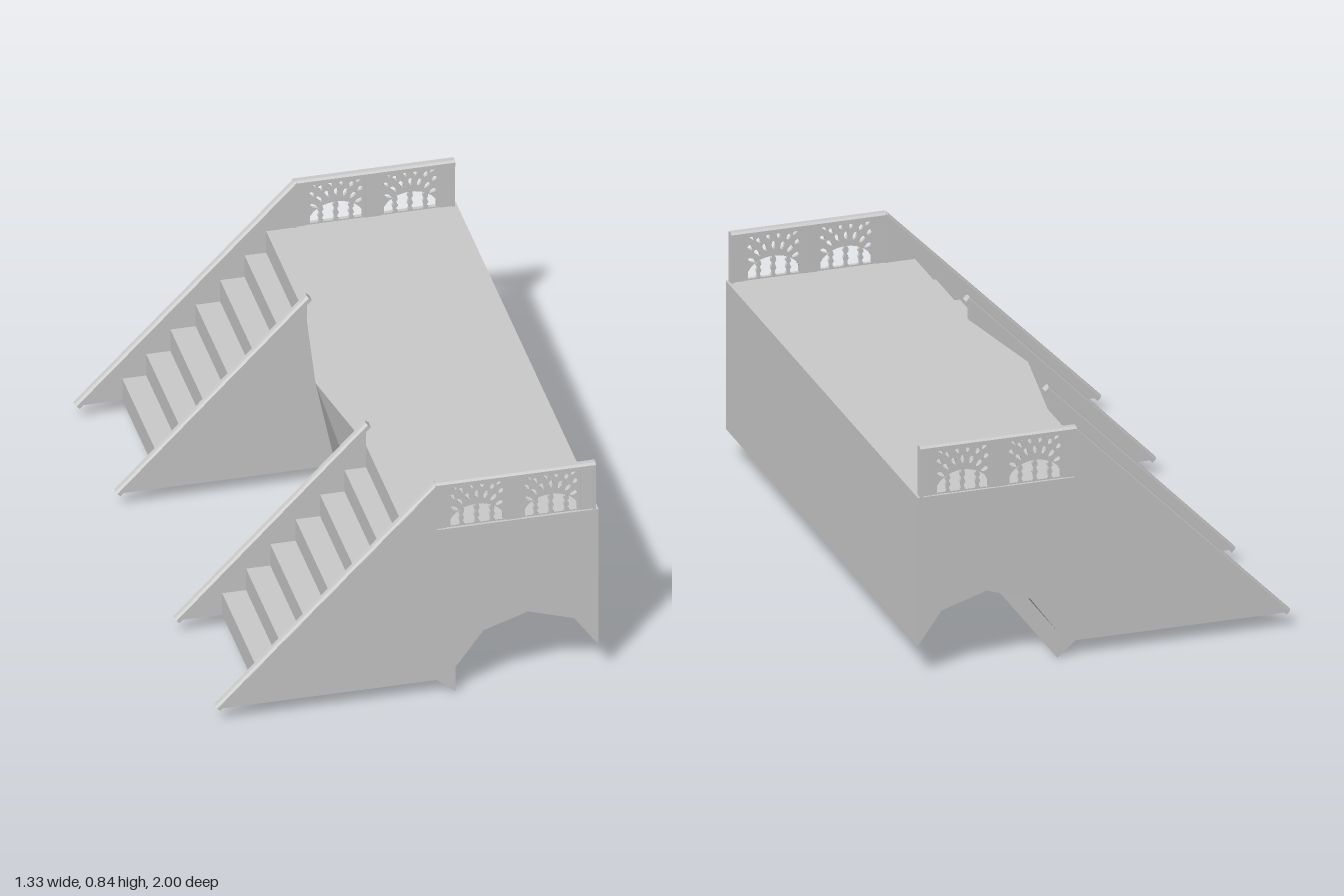
import * as THREE from 'three';

const mat = new THREE.MeshStandardMaterial({ color: 0xcccccc, flatShading: true });
const sheetMat = new THREE.MeshStandardMaterial({ color: 0xcccccc, flatShading: true, side: THREE.DoubleSide });

const toPoints = (pts) => pts.map(([x, y]) => new THREE.Vector2(x, y));

function add(group, name, geometry, material = mat) {
  const mesh = new THREE.Mesh(geometry, material);
  mesh.name = name;
  group.add(mesh);
  return mesh;
}

// Side profile (x, y) extruded from z0 to z1
function slab(pts, z0, z1, holes = []) {
  const shape = new THREE.Shape(toPoints(pts));
  shape.holes = holes.map((h) => new THREE.Path(toPoints(h)));
  const g = new THREE.ExtrudeGeometry(shape, { depth: z1 - z0, bevelEnabled: false });
  return g.translate(0, 0, z0);
}

const rect = (x0, y0, x1, y1) => [[x0, y0], [x1, y0], [x1, y1], [x0, y1]];

// Rounded coping whose crown runs from a to b at depth z
function coping(a, b, z, width = 0.032, height = 0.022) {
  const w = width / 2;
  const section = [[-w, -height], [w, -height], [w, -0.007], [w * 0.55, 0], [-w * 0.55, 0], [-w, -0.007]];
  const d = new THREE.Vector3(b[0] - a[0], b[1] - a[1], 0);
  const g = slab(section, 0, d.length());
  d.normalize();
  const m = new THREE.Matrix4().makeBasis(new THREE.Vector3(0, 0, -1), new THREE.Vector3(-d.y, d.x, 0), d);
  return g.applyMatrix4(m.setPosition(a[0], a[1], z));
}

// Pointed oval opening, long axis at the given angle
function petal(cx, cy, angle, length, width) {
  const pts = [];
  for (let i = 0; i < 8; i++) {
    const t = (i / 8) * Math.PI * 2;
    const u = Math.cos(t) * length, v = Math.sin(t) * width * (1 + 0.3 * Math.cos(t));
    pts.push([cx + u * Math.cos(angle) - v * Math.sin(angle), cy + u * Math.sin(angle) + v * Math.cos(angle)]);
  }
  return pts;
}

// Openings of one tracery bay: arcade between turned balusters, fan above
function bayHoles(cx) {
  const holes = [];
  const base = 0.66;
  const arch = (u) => base + 0.073 * Math.sqrt(1 - (u / 0.097) ** 2);
  const waist = (t) => 0.007 + 0.0035 * Math.cos(t * Math.PI * 5);
  const posts = [-0.1, -0.053, 0, 0.053, 0.1];
  for (let k = 0; k < 4; k++) {
    const edge = (side, t) => {
      const p = posts[k + side];
      return p + (side ? -1 : 1) * (Math.abs(p) === 0.1 ? 0.009 : waist(t));
    };
    const pts = [];
    for (const side of [0, 1]) {
      const column = [];
      const top = arch(edge(side, 1));
      for (let i = 0; i <= 8; i++) column.push([cx + edge(side, i / 8), base + (top - base) * (i / 8)]);
      if (side) column.reverse();
      else {
        const a = edge(0, 1), b = edge(1, 1);
        for (let i = 1; i < 4; i++) {
          const u = a + ((b - a) * i) / 4;
          column.push([cx + u, arch(u)]);
        }
      }
      pts.push(...column);
    }
    holes.push(pts);
  }
  // inner ring of the fan
  for (let i = -3; i <= 3; i++) {
    const a = Math.PI / 2 + i * 0.36;
    holes.push(petal(cx + 0.088 * Math.cos(a), 0.684 + 0.088 * Math.sin(a), a, 0.015, 0.007));
  }
  // outer ring of the fan
  for (let i = -2.5; i <= 2.5; i++) {
    const a = Math.PI / 2 + i * 0.31;
    holes.push(petal(cx + 0.119 * Math.cos(a), 0.688 + 0.119 * Math.sin(a), a, 0.011, 0.007));
  }
  // corner openings
  for (const s of [-1, 1]) {
    holes.push(petal(cx + s * 0.077, 0.808, Math.PI / 2 - s * 0.7, 0.012, 0.006));
    holes.push(petal(cx + s * 0.045, 0.816, s > 0 ? 0 : Math.PI, 0.01, 0.005));
  }
  return holes;
}

// Pierced balustrade with frame, posts and coping
function balustrade(s) {
  const g = new THREE.Group();
  g.name = 'balustrade';
  const z = s * 0.984;
  add(g, 'traceryPanel', slab(rect(0.1, 0.652, 0.655, 0.83), z - 0.006, z + 0.006,
    [...bayHoles(0.244), ...bayHoles(0.502)]));
  for (const [x0, x1, d] of [[0.098, 0.106, 0.015], [0.106, 0.137, 0.009], [0.345, 0.4, 0.009], [0.605, 0.647, 0.009], [0.647, 0.656, 0.015]]) {
    add(g, 'balustradePost', slab(rect(x0, 0.65, x1, 0.826), z - d, z + d));
  }
  add(g, 'balustradeCoping', coping([0.098, 0.838], [0.656, 0.838], z));
  return g;
}

// Zigzag sheet of treads and risers
function stairSheet(z0, z1) {
  const edges = [-0.5, -0.417, -0.333, -0.245, -0.16, -0.075, 0];
  const rise = 0.597 / edges.length;
  const path = [];
  edges.forEach((x, i) => path.push([x, 0.058 + i * rise], [x, 0.058 + (i + 1) * rise]));
  const pos = [];
  for (let i = 0; i + 1 < path.length; i++) {
    const [a, b] = [path[i], path[i + 1]];
    pos.push(...a, z0, ...a, z1, ...b, z1, ...a, z0, ...b, z1, ...b, z0);
  }
  const g = new THREE.BufferGeometry();
  g.setAttribute('position', new THREE.Float32BufferAttribute(pos, 3));
  g.computeVertexNormals();
  return g;
}

// Shallow pointed bulge of the wall between the two flights
function prowGeometry() {
  const A = [0, 0.655, -0.41], P = [-0.07, 0.655, 0], B = [0, 0.655, 0.41];
  const C = [0.1, 0.06, -0.41], D = [0.1, 0.06, 0.41];
  const g = new THREE.BufferGeometry();
  g.setAttribute('position', new THREE.Float32BufferAttribute(
    [A, P, B, A, C, P, P, C, D, P, D, B].flat(), 3));
  g.computeVertexNormals();
  return g;
}

export function createModel() {
  const model = new THREE.Group();
  model.name = 'stairPlatform';

  // Platform with the arched passage underneath
  add(model, 'platform', slab([
    [0, 0.655], [0.1, 0.06], [0.168, 0.003], [0.168, 0.1], [0.265, 0.232],
    [0.42, 0.283], [0.58, 0.232], [0.665, 0.113], [0.665, 0.655],
  ], -1, 1));
  add(model, 'platformProw', prowGeometry(), sheetMat);

  const toe = [-0.665, 0.064];
  for (const s of [-1, 1]) {
    const flight = new THREE.Group();
    flight.name = s > 0 ? 'frontFlight' : 'backFlight';
    model.add(flight);

    const span = (a, b) => (s > 0 ? [a, b] : [-b, -a]);
    add(flight, 'steps', stairSheet(...span(0.415, 0.985)), sheetMat);

    // Outer wall, flush with the platform end
    add(flight, 'outerWall', slab([
      [-0.655, 0.058], [0.1, 0.058], [0.1, 0.825], [-0.655, 0.062],
    ], ...span(0.972, 1)));
    add(flight, 'outerCoping', coping(toe, [0.1, 0.838], s * 0.983));

    // Inner wall, ending at the platform edge
    add(flight, 'innerWall', slab([
      [-0.655, 0.058], [0.1, 0.058], [0, 0.655], [0, 0.728], [-0.655, 0.062],
    ], ...span(0.4, 0.425)));
    add(flight, 'innerCoping', coping(toe, [0, 0.744], s * 0.413));

    flight.add(balustrade(s));
  }
  return model;
}
